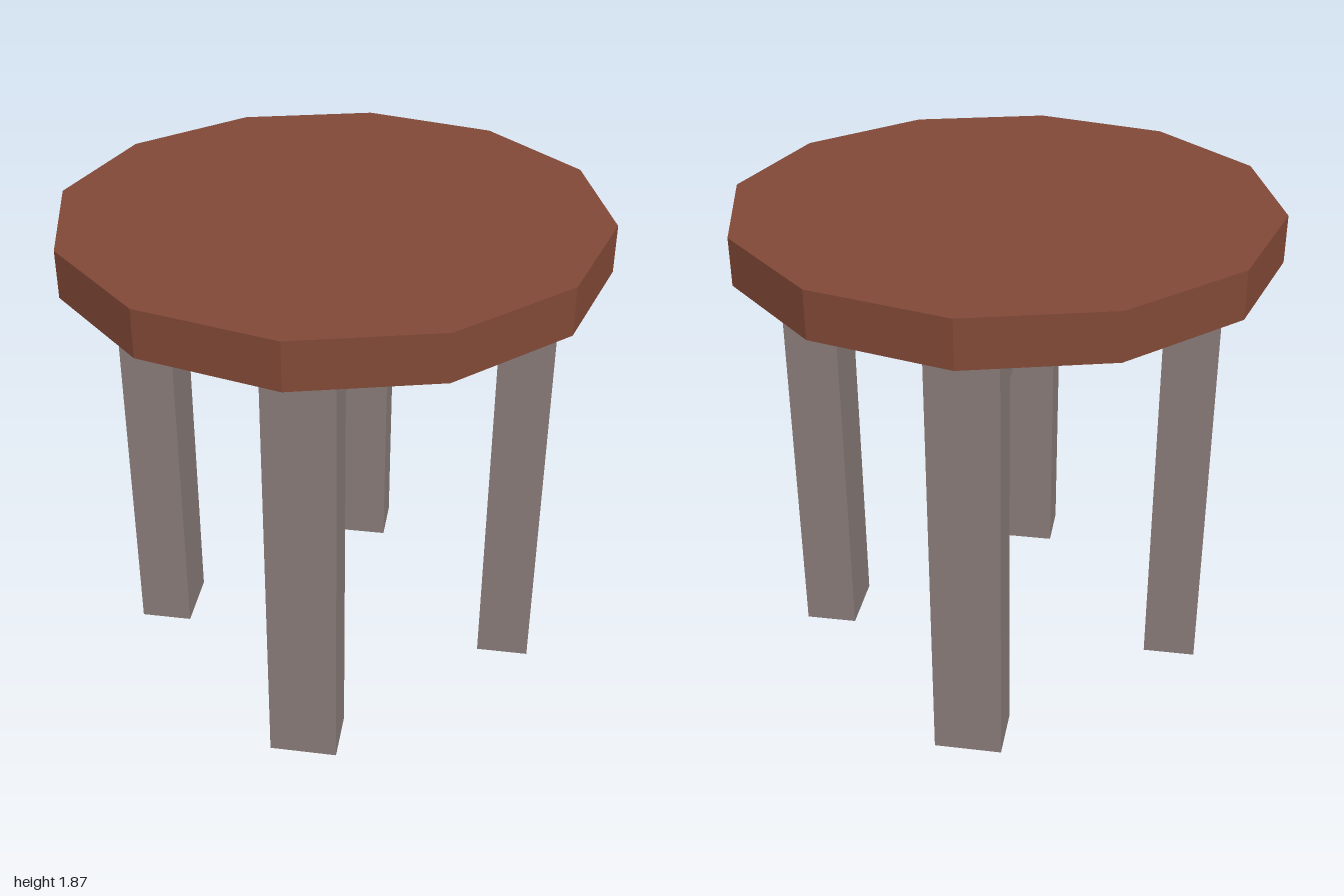
import * as THREE from 'three';

export function createModel() {
  const model = new THREE.Group();
  const wood = new THREE.MeshStandardMaterial({ name: 'brown wood', color: 0x804836, flatShading: true });
  const frame = new THREE.MeshStandardMaterial({ name: 'warm grey', color: 0x877a77, flatShading: true });

  // Twelve-sided seat, with corners on the x and z axes
  const seatBottom = 1.695, seatTop = 1.87;
  const seat = new THREE.Mesh(new THREE.CylinderGeometry(1, 1, seatTop - seatBottom, 12), wood);
  seat.name = 'seat';
  seat.position.y = (seatBottom + seatTop) / 2;
  model.add(seat);

  // Arch: two legs joined by a crossbar, all of one width
  const outer = 0.813, inner = 0.61, barBottom = 1.475, width = 0.252;
  const outline = [
    [-outer, 0], [-inner, 0], [-inner, barBottom], [inner, barBottom],
    [inner, 0], [outer, 0], [outer, seatBottom], [-outer, seatBottom],
  ].map(([x, y]) => new THREE.Vector2(x, y));
  const arch = new THREE.ExtrudeGeometry(new THREE.Shape(outline), { depth: width, bevelEnabled: false });
  arch.translate(0, 0, -width / 2);

  // Two crossing arches make the four legs
  ['sideLegsAndCrossbar', 'frontBackLegsAndCrossbar'].forEach((name, i) => {
    const mesh = new THREE.Mesh(arch, frame);
    mesh.name = name;
    mesh.position.set(0.013, 0, -0.003);
    mesh.rotation.y = i * Math.PI / 2;
    model.add(mesh);
  });

  return model;
}
